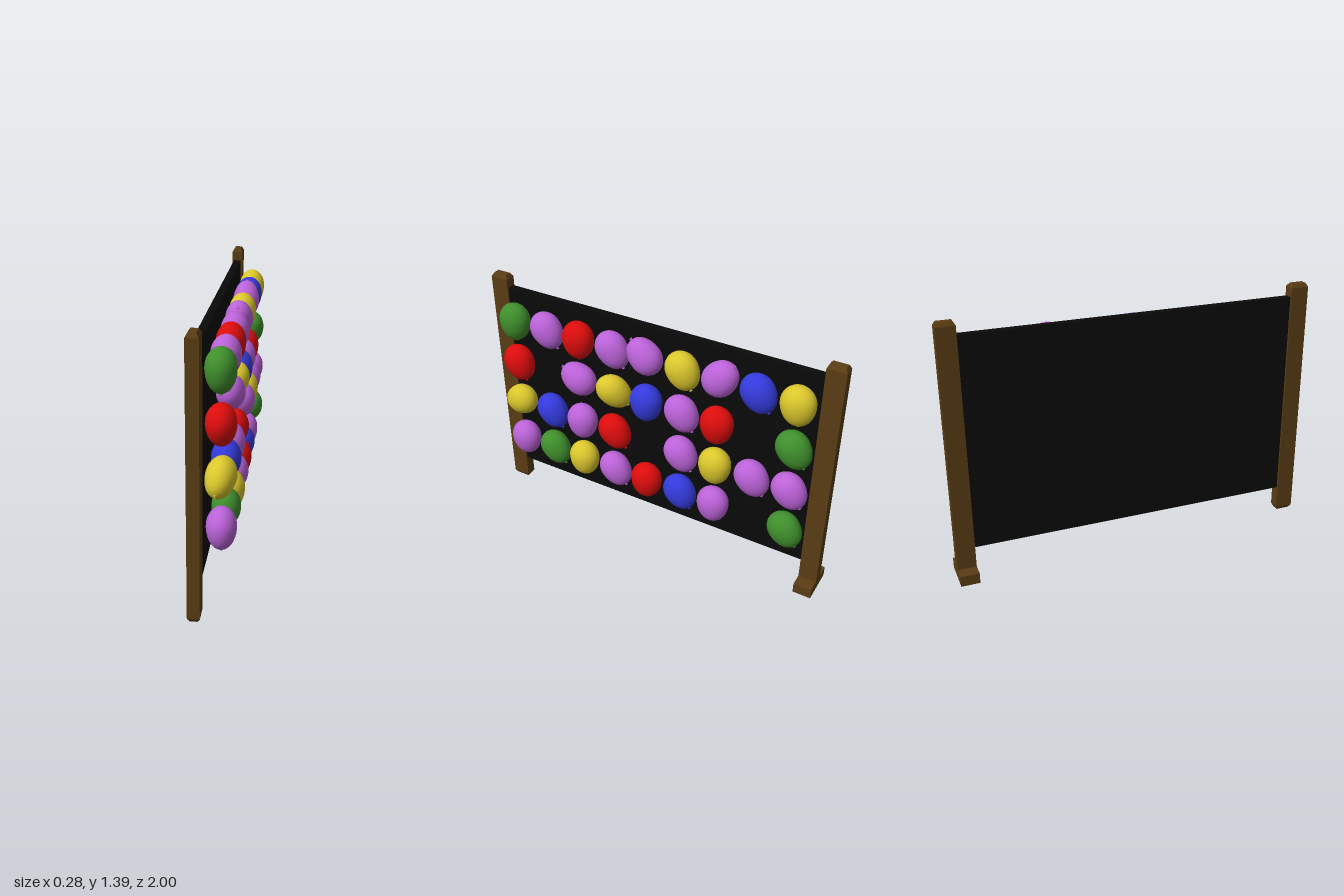
import * as THREE from 'three';

const mat = (color, opts = {}) => new THREE.MeshStandardMaterial({ color, ...opts });

// Balloon profile: knot skirt, neck, tapered lower half, round upper half
function balloonGeometry() {
  const R = 0.088, top = 0.093, low = 0.116;
  const pts = [[0, -0.121], [0.009, -0.125], [0.008, -0.121], [0.004, -0.116]].map(p => new THREE.Vector2(...p));
  for (let i = 1; i <= 10; i++) {
    const a = (i / 10) * Math.PI / 2;
    pts.push(new THREE.Vector2(R * Math.pow(Math.sin(a), 0.93), -low * Math.cos(a)));
  }
  for (let i = 1; i <= 10; i++) {
    const a = (i / 10) * Math.PI / 2;
    pts.push(new THREE.Vector2(i === 10 ? 0 : R * Math.cos(a), top * Math.sin(a)));
  }
  // Slightly flattened towards the board
  return new THREE.LatheGeometry(pts, 28).scale(0.82, 1, 1);
}

// Upright post with chamfered ends
function postGeometry(w, d, h) {
  const bevel = 0.012, cap = 0.02;
  const x = w / 2 - bevel, z = d / 2 - bevel;
  const s = new THREE.Shape([[-x, -z], [x, -z], [x, z], [-x, z]].map(p => new THREE.Vector2(...p)));
  const g = new THREE.ExtrudeGeometry(s, {
    depth: h - 2 * cap, bevelEnabled: true, bevelThickness: cap, bevelSize: bevel, bevelSegments: 1,
  });
  return g.rotateX(-Math.PI / 2).translate(0, cap - h / 2, 0);
}

export function createModel() {
  const model = new THREE.Group();
  model.name = 'balloonBoard';

  // Stand, leaning very slightly
  const stand = new THREE.Group();
  stand.name = 'stand';
  stand.position.set(-0.04, 0.705, 0);
  stand.rotation.z = -0.008;
  model.add(stand);

  const wood = mat(0x5a3d14, { flatShading: true });
  const add = (name, geo, material, y, z) => {
    const m = new THREE.Mesh(geo, material);
    m.name = name;
    m.position.set(0, y, z);
    stand.add(m);
  };
  const post = postGeometry(0.06, 0.1, 1.37);
  add('frontPost', post, wood, 0, 0.95);
  add('backPost', post, wood, 0, -0.95);
  add('foot', new THREE.BoxGeometry(0.2, 0.058, 0.1), wood, -0.675, -0.95);
  add('board', new THREE.BoxGeometry(0.04, 1.15, 1.81), mat(0x0a0a0a), 0.04, 0);

  // Balloons: colour, tip swing in degrees, optional tip lean towards the board
  const colors = {
    G: mat(0x3f8f2c), P: mat(0xbb62d8), R: mat(0xdc0c0c), Y: mat(0xdac62c), B: mat(0x343adc),
  };
  const rows = [
    [['G', 0], ['P', 34], ['R', 0], ['P', 35], ['P', -135], ['Y', 26], ['P', 143], ['B', 32], ['Y', 5]],
    [['R', 20], null, ['P', -114], ['Y', 36, 20], ['B', 0], ['P', 33], ['R', 0], null, ['G', 32]],
    [['Y', -60, 9], ['B', 32], ['P', 0], ['R', 37], null, ['P', 32], ['Y', 0], ['P', 34], ['P', 35]],
    [['P', 0], ['G', 34], ['Y', 0], ['P', 36], ['R', 0], ['B', 32], ['P', 0], null, ['G', 34]],
  ];
  const geo = balloonGeometry();
  const balloons = new THREE.Group();
  balloons.name = 'balloons';
  rows.forEach((row, r) => row.forEach((cell, c) => {
    if (!cell) return;
    const [key, swing, lean = 0] = cell;
    const b = new THREE.Mesh(geo, colors[key]);
    b.name = 'balloon';
    b.position.set(0.063, 1.19 - r * 0.254, 0.812 - c * 0.203);
    b.rotation.set(THREE.MathUtils.degToRad(swing), 0, -THREE.MathUtils.degToRad(lean));
    balloons.add(b);
  }));
  model.add(balloons);
  return model;
}
